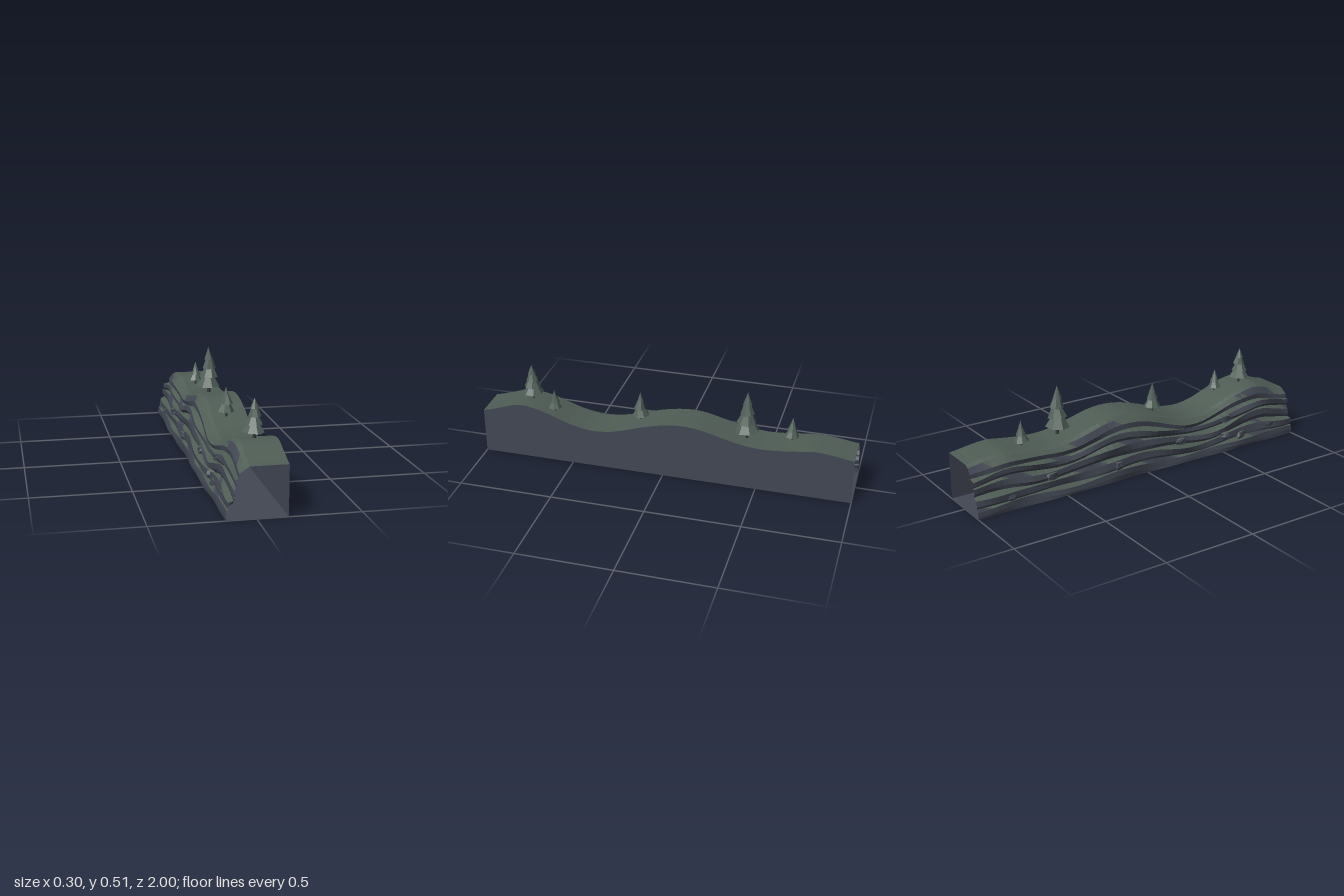
import * as THREE from 'three';

const mat = (name, color, side = THREE.FrontSide) => {
  const m = new THREE.MeshStandardMaterial({ color, side, flatShading: true });
  m.name = name;
  return m;
};

// Ridge height, sampled every 0.1 from z = -1 to z = 1
const heights = [0.25, 0.264, 0.273, 0.26, 0.248, 0.245, 0.258, 0.283, 0.308, 0.317, 0.306,
  0.28, 0.247, 0.221, 0.215, 0.234, 0.27, 0.301, 0.311, 0.28, 0.25];
const ridge = new THREE.SplineCurve(heights.map((h, i) => new THREE.Vector2(i / 10 - 1, h)));
const heightAt = z => ridge.getPoint((z + 1) / 2).y;

// Cross-section, counter-clockwise: x, fraction of height, how far the point wanders
const profile = [
  [0.15, 1, 0], [-0.035, 1, 0.006], [-0.057, 0.955, 0.006], [-0.08, 0.86, 0.007],
  [-0.078, 0.77, 0.007], [-0.1, 0.745, 0.012], [-0.104, 0.66, 0.009],
  [-0.092, 0.6, 0.006], [-0.112, 0.565, 0.011], [-0.116, 0.46, 0.008],
  [-0.108, 0.39, 0.006], [-0.128, 0.355, 0.01], [-0.131, 0.24, 0.006],
  [-0.128, 0.2, 0.005], [-0.141, 0.165, 0.006], [-0.145, 0.07, 0.005],
  [-0.145, 0, 0.006], [0.15, 0, 0],
];

function random(seed) {
  let s = seed;
  return () => (s = (s * 16807) % 2147483647) / 2147483647;
}

// Splits a triangle list by slope: flat tops are mossy, steep faces are bare rock
function slopeMesh(name, geometry, grass, rock, limit) {
  const src = geometry.index ? geometry.toNonIndexed() : geometry;
  const p = src.attributes.position;
  const lists = [[], []];
  const [a, b, c, n] = [0, 1, 2, 3].map(() => new THREE.Vector3());
  for (let i = 0; i < p.count; i += 3) {
    [a, b, c].forEach((v, k) => v.fromBufferAttribute(p, i + k));
    THREE.Triangle.getNormal(a, b, c, n);
    lists[n.y > limit ? 0 : 1].push(...a.toArray(), ...b.toArray(), ...c.toArray());
  }
  const g = new THREE.BufferGeometry();
  g.setAttribute('position', new THREE.Float32BufferAttribute([...lists[0], ...lists[1]], 3));
  g.addGroup(0, lists[0].length / 3, 0);
  g.addGroup(lists[0].length / 3, lists[1].length / 3, 1);
  g.computeVertexNormals();
  const mesh = new THREE.Mesh(g, [grass, rock]);
  mesh.name = name;
  return mesh;
}

// Hollow ridge with open ends
function ridgeGeometry() {
  const sections = 50, n = profile.length;
  const pos = [], index = [];
  for (let j = 0; j <= sections; j++) {
    const z = (j / sections) * 2 - 1, h = heightAt(z);
    profile.forEach(([x, f, w], i) => {
      const layer = Math.floor((i + 1) / 3);
      const drift = 0.6 * Math.sin(z * 7 + i * 0.9) + 0.4 * Math.sin(z * 17 + layer * 2.3 + i);
      const lift = f > 0 && f < 0.9 ? 0.007 * Math.sin(z * 11 + layer * 1.9) : 0;
      pos.push(x + w * drift, h * f + lift, z);
    });
  }
  for (let j = 0; j < sections; j++) {
    for (let i = 0; i < n; i++) {
      const k = (i + 1) % n;
      const a = j * n + i, b = j * n + k, c = b + n, d = a + n;
      index.push(a, b, c, a, c, d);
    }
  }
  const g = new THREE.BufferGeometry();
  g.setAttribute('position', new THREE.Float32BufferAttribute(pos, 3));
  g.setIndex(index);
  return g;
}

// Blocky stone: a box pulled toward a rounded, uneven shape
function boulderGeometry(sx, sy, sz, seed) {
  const g = new THREE.BoxGeometry(2, 2, 2, 2, 2, 2);
  const p = g.attributes.position, v = new THREE.Vector3();
  for (let i = 0; i < p.count; i++) {
    v.fromBufferAttribute(p, i);
    const uneven = 1 + 0.12 * Math.sin(v.x * 2.1 + v.y * 3.7 + v.z * 5.3 + seed);
    v.multiplyScalar(uneven / Math.pow(v.length(), 0.55));
    p.setXYZ(i, v.x * sx, v.y * sy, v.z * sz);
  }
  return g;
}

// Conifer of stacked, slightly offset skirts
function conifer(x, z, top, radius, tiers, leaf, bark, seed) {
  const rnd = random(seed);
  const tree = new THREE.Group();
  tree.name = 'conifer';
  const ground = heightAt(z), total = top - ground;
  tree.position.set(x, ground, z);
  const trunk = new THREE.Mesh(
    new THREE.CylinderGeometry(radius * 0.1, radius * 0.16, total * 0.5, 6), bark);
  trunk.name = 'trunk';
  trunk.position.y = total * 0.25 - 0.01;
  tree.add(trunk);
  const start = total * 0.16, step = (total - start) / (tiers + 0.4);
  for (let i = 0; i < tiers; i++) {
    const last = i === tiers - 1;
    const r = radius * (1 - 0.62 * i / (tiers - 1));
    const h = step * 1.4;
    const skirt = new THREE.Mesh(
      new THREE.CylinderGeometry(last ? 0 : r * 0.36, r, h, 7), leaf);
    skirt.name = 'foliageTier';
    skirt.position.set((rnd() - 0.5) * radius * 0.1, start + i * step + h / 2,
      (rnd() - 0.5) * radius * 0.1);
    skirt.rotation.set((rnd() - 0.5) * 0.12, rnd() * 6, (rnd() - 0.5) * 0.12);
    if (last) skirt.rotation.x = skirt.rotation.z = 0;
    tree.add(skirt);
  }
  return tree;
}

export function createModel() {
  const model = new THREE.Group();
  model.name = 'cliffRidge';
  const grass = mat('mossGreen', 0x4f5d55, THREE.DoubleSide);
  const rock = mat('slateRock', 0x434854, THREE.DoubleSide);
  const leaf = mat('pineGreen', 0x52615a);
  const bark = mat('darkBark', 0x38393a);

  model.add(slopeMesh('ridge', ridgeGeometry(), grass, rock, 0.62));

  // Stones set into the cliff: x, y, z and half-sizes
  const stones = [
    [-0.105, 0.06, 0.84, 0.034, 0.036, 0.04], [-0.108, 0.06, 0.64, 0.032, 0.032, 0.036],
    [-0.115, 0.08, 0.53, 0.026, 0.024, 0.03], [-0.075, 0.165, 0.72, 0.028, 0.026, 0.035],
    [-0.088, 0.17, 0.55, 0.022, 0.02, 0.03], [-0.105, 0.115, 0.23, 0.022, 0.02, 0.032],
    [-0.115, 0.075, -0.17, 0.026, 0.028, 0.036], [-0.085, 0.205, -0.05, 0.022, 0.018, 0.035],
    [-0.11, 0.115, -0.57, 0.022, 0.02, 0.034], [-0.115, 0.06, -0.8, 0.024, 0.024, 0.032],
  ];
  stones.forEach(([x, y, z, sx, sy, sz], i) => {
    const stone = slopeMesh('boulder', boulderGeometry(sx, sy, sz, i * 1.7), grass, rock, 0.75);
    stone.position.set(x, y, z);
    stone.rotation.y = Math.sin(i * 2.4) * 0.35;
    model.add(stone);
  });

  // Trees along the top: x, z, tip height, radius, tiers
  [
    [0.045, 0.75, 0.505, 0.055, 4], [0.088, 0.61, 0.395, 0.036, 3],
    [0.04, 0.15, 0.42, 0.045, 3], [0.062, -0.43, 0.515, 0.065, 4],
    [0.028, -0.66, 0.385, 0.038, 3],
  ].forEach((t, i) => model.add(conifer(...t, leaf, bark, 101 + i * 977)));

  return model;
}
